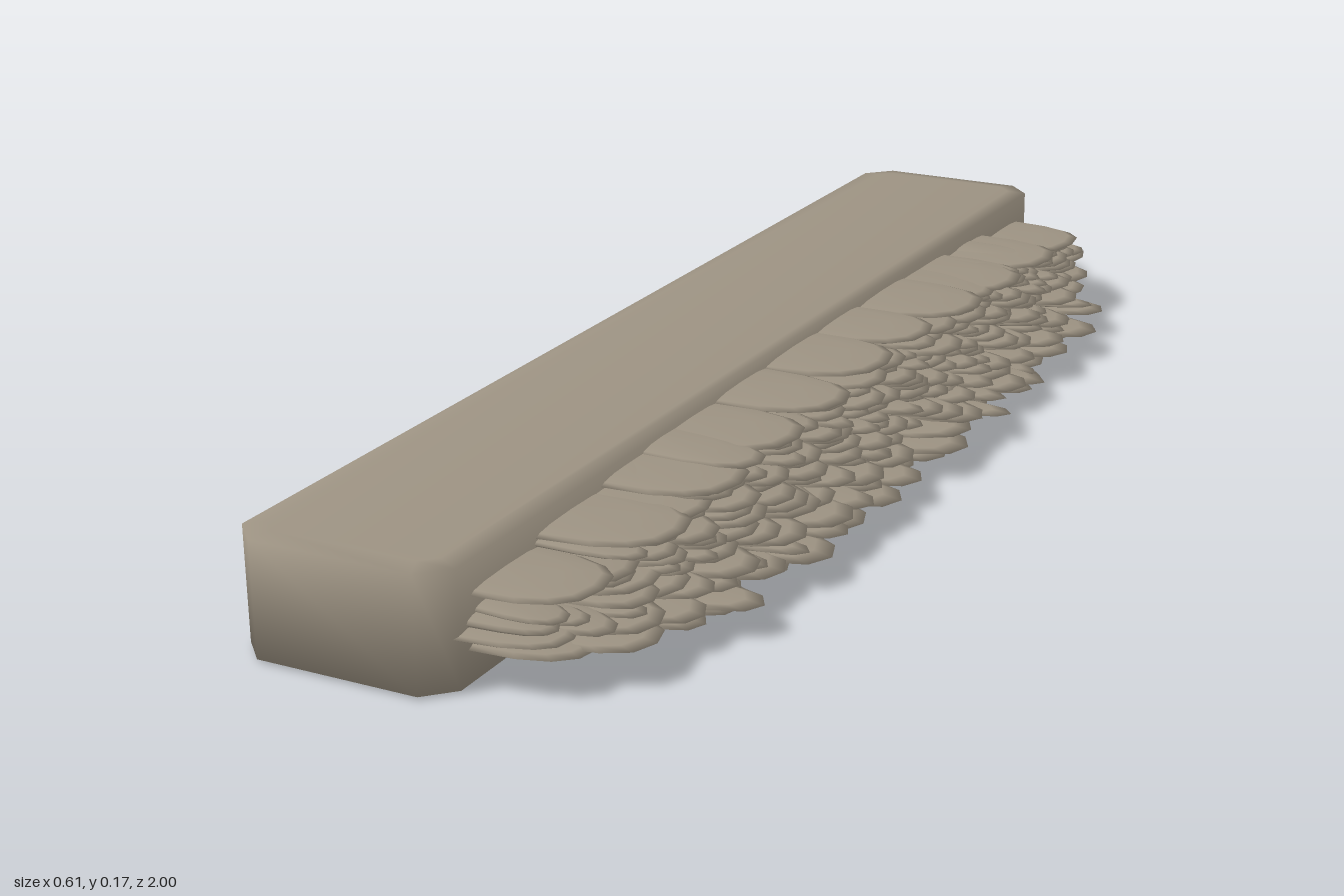
import * as THREE from 'three';
import { mergeGeometries, toCreasedNormals } from 'three/addons/utils/BufferGeometryUtils.js';

// small seeded generator
let seed = 7;
const rand = (a = 0, b = 1) => {
  seed = (seed * 16807) % 2147483647;
  return a + (b - a) * (seed / 2147483647);
};

const MID = 0.086; // height of the middle of the flake bundle

// how far the flakes stick out at each height
const REACH = [[0, 0.17], [0.012, 0.18], [0.02, 0.23], [0.03, 0.275], [0.04, 0.295], [0.055, 0.265],
  [0.08, 0.23], [0.1, 0.205], [0.14, 0.19], [0.175, 0.17]];
function reachAt(y) {
  for (let i = 1; i < REACH.length; i++) {
    const [y0, r0] = REACH[i - 1], [y1, r1] = REACH[i];
    if (y <= y1) return r0 + (r1 - r0) * (y - y0) / (y1 - y0);
  }
  return 0.17;
}

// rounded tongue, thick at the root and thin at the tip
function flake(z, y, length, width, thick, droop, yaw) {
  const g = new THREE.SphereGeometry(1, 16, 6);
  const p = g.attributes.position;
  const blunt = v => Math.sign(v) * Math.abs(v) ** 0.75;
  for (let i = 0; i < p.count; i++) {
    const x = blunt(p.getX(i));
    const lx = x > 0 ? x * length : x * 0.04;
    p.setXYZ(i, lx, p.getY(i) * thick - droop * Math.max(x, 0) ** 2, blunt(p.getZ(i)) * width / 2);
  }
  g.rotateY(yaw);
  g.translate(0, y, z);
  g.computeVertexNormals();
  return g;
}

export function createModel() {
  const group = new THREE.Group();
  const stone = new THREE.MeshStandardMaterial({ color: 0x9c9282 });
  const add = (geometry, name) => {
    const mesh = new THREE.Mesh(geometry, stone);
    mesh.name = name;
    group.add(mesh);
    return mesh;
  };

  // long slab with cut corners and a shallow bevel above and below
  const inset = 0.03, c = 0.022;
  const x0 = -0.313 + inset, x1 = 0.012 - inset, z1 = 1 - inset;
  const outline = new THREE.Shape([
    [x0 + c, -z1], [x1 - c, -z1], [x1, -z1 + c], [x1, z1 - c],
    [x1 - c, z1], [x0 + c, z1], [x0, z1 - c], [x0, -z1 + c],
  ].map(([x, z]) => new THREE.Vector2(x, z)));
  const slab = new THREE.ExtrudeGeometry(outline, {
    depth: 0.167, bevelThickness: 0.004, bevelSize: inset, bevelSegments: 1,
  });
  slab.rotateX(-Math.PI / 2);
  slab.translate(0, 0.004, 0);
  add(toCreasedNormals(slab, Math.PI), 'slab');

  // solid core hidden behind the flakes
  const core = add(new THREE.SphereGeometry(1, 32, 12), 'flakeCore');
  core.scale.set(0.14, 0.074, 0.9);
  core.position.y = MID;

  // stacked rows of flakes, filling a lens-shaped section
  const rows = 13;
  for (let r = 0; r < rows; r++) {
    const y = 0.018 + 0.136 * r / (rows - 1);
    const span = 0.92 * Math.sqrt(1 - ((y - MID) / 0.083) ** 2);
    const list = [];
    let z = -span + rand(0, 0.05);
    while (z < span) {
      const width = rand(0.07, 0.17);
      const end = 1 - 0.42 * Math.abs(z / 0.93) ** 5;
      const length = reachAt(y) * end * rand(0.86, 1.03);
      list.push(flake(z, y + rand(-0.004, 0.004), length, width, rand(0.006, 0.009),
        rand(-0.003, 0.005), rand(-0.1, 0.1)));
      z += width * rand(0.6, 0.85);
    }
    add(mergeGeometries(list), 'flakeRow' + (r + 1));
  }

  // broad tongues covering the top and underside of the bundle
  for (const side of [1, -1]) {
    const list = [];
    for (let i = -5; i <= 5; i++) {
      const z = 0.01 + i * 0.167 + rand(-0.015, 0.015);
      const y = MID + side * 0.076 * Math.sqrt(1 - (z / 0.96) ** 2);
      const length = Math.abs(i) === 5 ? 0.155 : rand(0.165, 0.185);
      list.push(flake(z, y, length, rand(0.17, 0.2), 0.0085, side * -0.003, rand(-0.05, 0.05)));
    }
    add(mergeGeometries(list), side > 0 ? 'topFlakes' : 'bottomFlakes');
  }
  return group;
}
